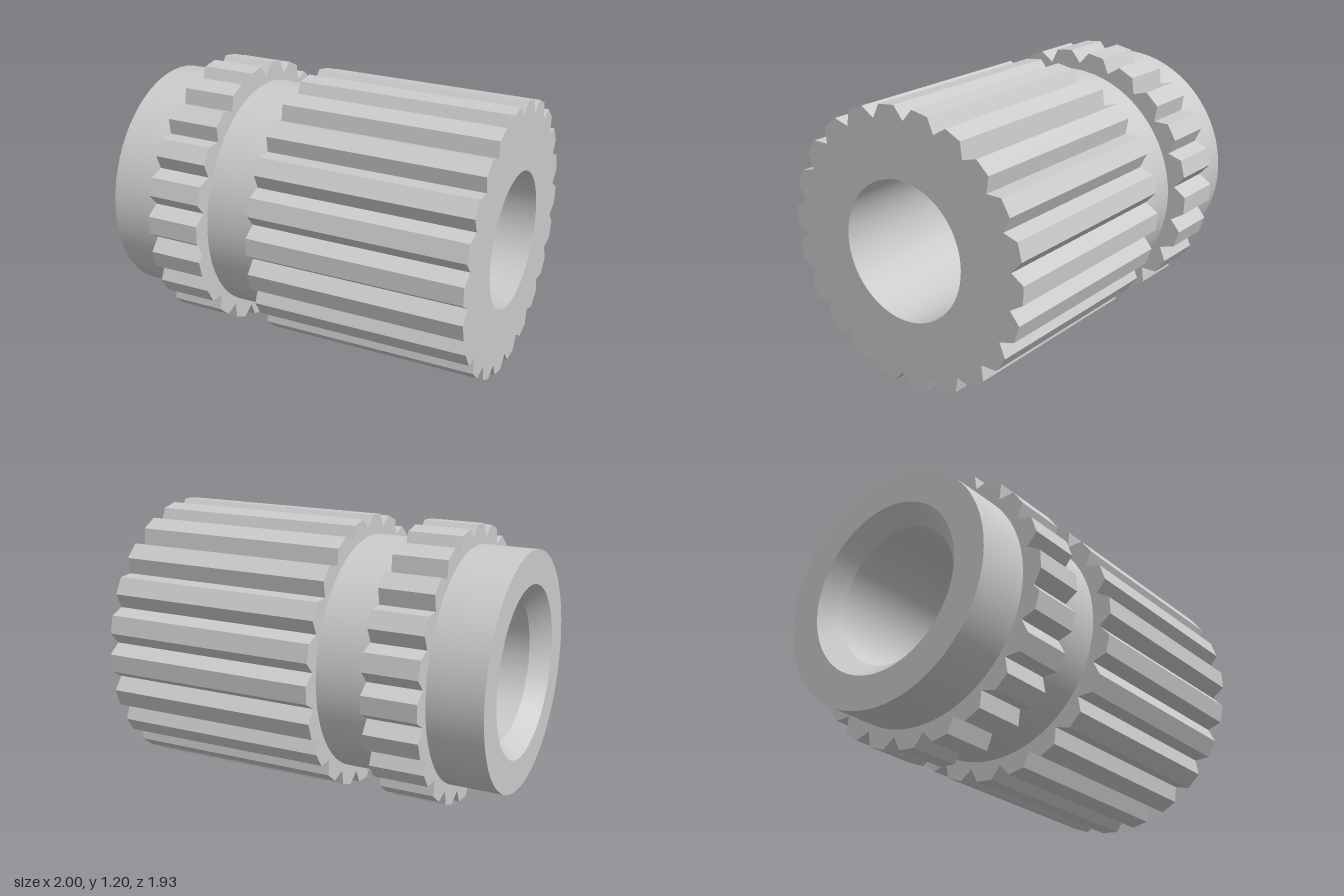
import * as THREE from 'three';
import { toCreasedNormals } from 'three/addons/utils/BufferGeometryUtils.js';

const LENGTH = 1.672, STEP = LENGTH / 7;   // axial spacing of the bands
const BORE = 0.3, BODY = 0.514, TIP = 0.6, ROOT = 0.545, TEETH = 22;
const material = new THREE.MeshStandardMaterial({ color: 0xcccccc });

// Toothed ring outline: flat tooth tops separated by V notches
function toothedShape(holeRadius) {
  const pitch = (Math.PI * 2) / TEETH;
  const start = Math.PI + 0.096;
  const points = [];
  for (let i = 0; i < TEETH; i++) {
    const a = start + i * pitch;
    for (const [r, t] of [[ROOT, 0], [TIP, 0.28], [TIP, 0.74]]) {
      points.push(new THREE.Vector2(r * Math.cos(a + t * pitch), r * Math.sin(a + t * pitch)));
    }
  }
  const shape = new THREE.Shape(points);
  const hole = new THREE.Path();
  hole.absarc(0, 0, holeRadius, 0, Math.PI * 2, true);
  shape.holes.push(hole);
  return shape;
}

function toothedBand(name, holeRadius, z, depth) {
  const geometry = new THREE.ExtrudeGeometry(toothedShape(holeRadius), {
    depth, bevelEnabled: false, curveSegments: 32,
  });
  const mesh = new THREE.Mesh(toCreasedNormals(geometry, 0.35), material);
  mesh.name = name;
  mesh.position.z = z;
  return mesh;
}

export function createModel() {
  const model = new THREE.Group();
  model.name = 'knurledInsert';

  // Sleeve parts share an axis along z, with the back end at z = 0
  const insert = new THREE.Group();
  insert.name = 'insert';

  // Plain sleeve with a chamfered bore at the back
  const profile = [
    [BORE, STEP * 3], [BORE, 0.08], [0.37, 0], [BODY, 0], [BODY, STEP * 3],
  ].map(([r, y]) => new THREE.Vector2(r, y));
  const sleeveGeometry = new THREE.LatheGeometry(profile, 64).rotateX(Math.PI / 2);
  const sleeve = new THREE.Mesh(toCreasedNormals(sleeveGeometry, 0.35), material);
  sleeve.name = 'sleeve';
  insert.add(sleeve);

  // Narrow and wide toothed bands
  insert.add(toothedBand('narrowToothedBand', BODY - 0.01, STEP, STEP));
  insert.add(toothedBand('wideToothedBand', BORE, STEP * 3, STEP * 4));
  insert.children.forEach((part) => { part.position.z -= LENGTH / 2; });

  // Lay the insert on its side, turned toward the front left
  insert.rotation.y = THREE.MathUtils.degToRad(50.3);
  insert.position.set(-0.03, TIP, -0.035);
  model.add(insert);
  return model;
}
